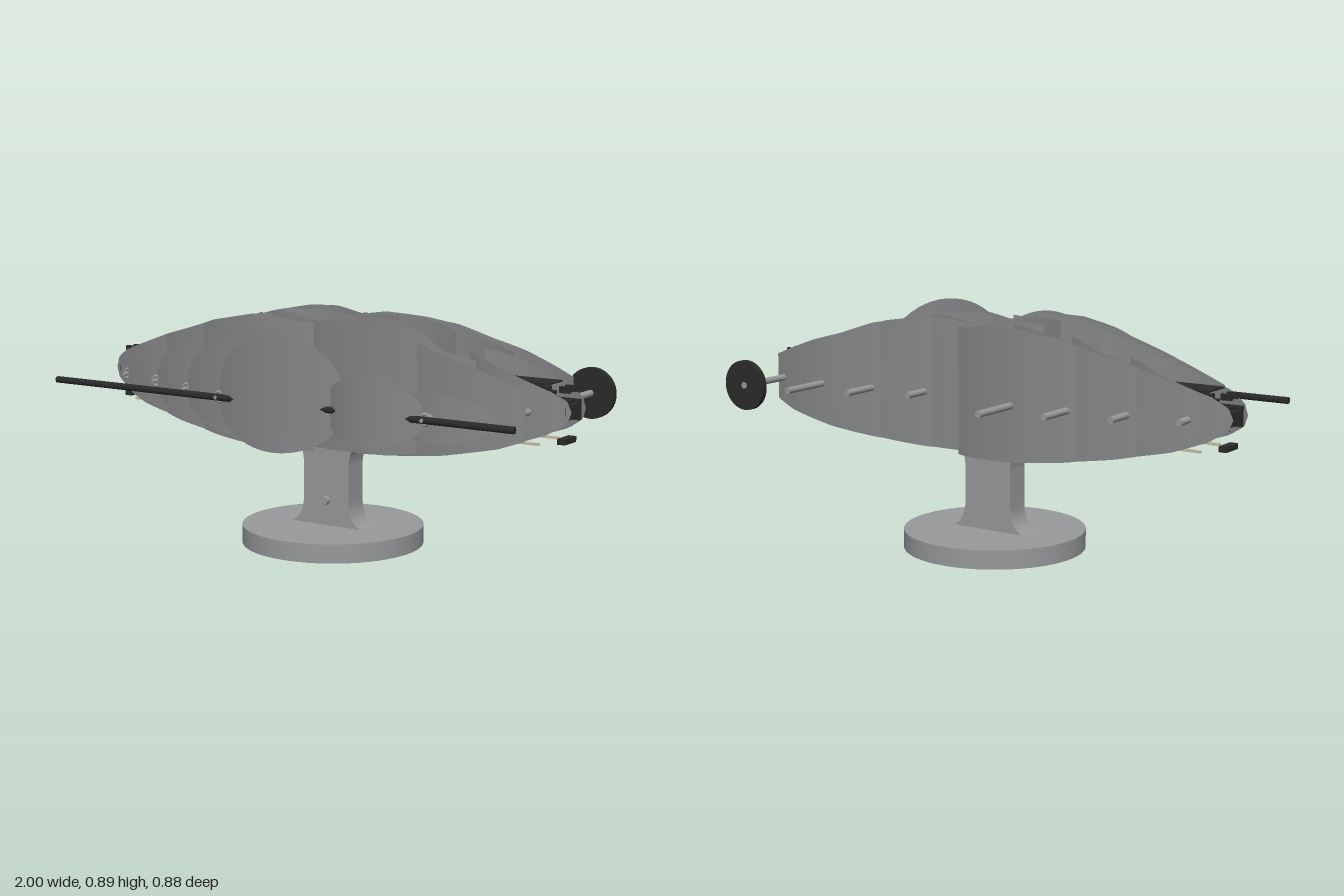
import * as THREE from 'three';

const mat = (name, color, side = THREE.FrontSide) => {
  const m = new THREE.MeshStandardMaterial({ color, side });
  m.name = name;
  return m;
};

export function createModel() {
  const model = new THREE.Group();
  const stone = mat('stand grey', 0x98999b);
  const shell = mat('shell grey', 0x868789, THREE.DoubleSide);
  const steel = mat('shaft grey', 0x97999b);
  const dark = mat('dark frame', 0x2b2b2b);
  const tan = mat('tan strip', 0xc8bfa5);
  const axisY = 0.585;

  const add = (name, geo, material, x = 0, y = 0, z = 0) => {
    const m = new THREE.Mesh(geo, material);
    m.name = name;
    m.position.set(x, y, z);
    model.add(m);
    return m;
  };
  const box = (name, w, h, d, material, x, y, z) =>
    add(name, new THREE.BoxGeometry(w, h, d), material, x, y, z);
  // Cylinder lying along z between two depths
  const rodZ = (name, r, z0, z1, material, x, y, sides = 16) =>
    add(name, new THREE.CylinderGeometry(r, r, z1 - z0, sides).rotateX(Math.PI / 2), material, x, y, (z0 + z1) / 2);

  // Thin bent sheet: at(u) returns [x, bottom, top, z] for u in -1..1
  const sheet = (name, at) => {
    const geo = new THREE.PlaneGeometry(2, 1, 28, 4);
    const p = geo.attributes.position;
    for (let i = 0; i < p.count; i++) {
      const [x, lo, hi, z] = at(p.getX(i));
      p.setXYZ(i, x, THREE.MathUtils.lerp(lo, hi, p.getY(i) + 0.5), z);
    }
    geo.computeVertexNormals();
    return add(name, geo, shell);
  };

  // Stand: round foot and a waisted column
  add('foot', new THREE.CylinderGeometry(0.34, 0.34, 0.07, 64), stone, 0, 0.035, -0.02);
  const s = new THREE.Shape();
  s.moveTo(-0.165, 0.065);
  s.lineTo(0.165, 0.065);
  s.quadraticCurveTo(0.1, 0.085, 0.1, 0.17);
  s.lineTo(0.1, 0.31);
  s.quadraticCurveTo(0.105, 0.385, 0.165, 0.405);
  s.lineTo(0.165, 0.475);
  s.lineTo(-0.165, 0.475);
  s.lineTo(-0.165, 0.405);
  s.quadraticCurveTo(-0.105, 0.385, -0.1, 0.31);
  s.lineTo(-0.1, 0.17);
  s.quadraticCurveTo(-0.1, 0.085, -0.165, 0.065);
  add('column', new THREE.ExtrudeGeometry(s, { depth: 0.096, bevelEnabled: false, curveSegments: 12 }), stone, 0, 0, -0.069);
  rodZ('columnKnob', 0.017, 0.025, 0.045, steel, 0, 0.165, 20);

  // Frame: two rails, cover plate, end brackets and feet
  for (const z of [0.032, -0.074]) box('rail', 1.96, 0.072, 0.019, dark, 0, axisY, z);
  box('coverPlate', 1.82, 0.006, 0.106, dark, 0, 0.679, -0.022);
  for (const side of [-1, 1]) {
    box('endBlock', 0.03, 0.02, 0.086, dark, side * 0.957, 0.484, -0.022);
    box('endCrossbar', 0.014, 0.05, 0.09, dark, side * 0.973, axisY, -0.022);
    box('endCrossbar', 0.06, 0.01, 0.09, dark, side * 0.93, axisY + 0.03, -0.022);
    for (const z of [0, -0.045]) box('endBracket', 0.04, 0.022, 0.014, dark, side * 0.957, 0.661, z);
  }
  for (const z of [0.052, -0.096]) box('lowerStrip', 1.78, 0.009, 0.012, tan, 0, 0.474, z);

  // Overall upper and lower outline of the shells
  const curve = (pts) => (x) => {
    let i = 0;
    while (i < pts.length - 2 && x > pts[i + 1][0]) i++;
    const [a, b] = [pts[i], pts[i + 1]];
    return THREE.MathUtils.mapLinear(x, a[0], b[0], a[1], b[1]);
  };
  const topAt = curve([[-1, 0.59], [-0.985, 0.63], [-0.93, 0.665], [-0.8, 0.708], [-0.68, 0.75], [-0.55, 0.785],
    [-0.4, 0.83], [-0.25, 0.858], [-0.12, 0.862], [0, 0.843], [0.15, 0.864], [0.3, 0.85], [0.42, 0.83],
    [0.55, 0.785], [0.68, 0.75], [0.8, 0.708], [0.93, 0.66], [0.985, 0.63], [1, 0.59]]);
  const lowAt = curve([[0, 0.375], [0.2, 0.38], [0.4, 0.398], [0.6, 0.427], [0.8, 0.468], [0.92, 0.51], [0.985, 0.55], [1, 0.59]]);

  // Nine shafts in four repeating depths, each with a gear and two bent panels
  const gear = new THREE.Shape();
  for (let i = 0; i < 72; i++) {
    const a = (i / 72) * Math.PI * 2, r = i % 4 < 2 ? 0.075 : 0.066;
    gear[i ? 'lineTo' : 'moveTo'](r * Math.cos(a), r * Math.sin(a));
  }
  const gearGeo = new THREE.ExtrudeGeometry(gear, { depth: 0.02, bevelEnabled: false });
  for (let k = 0; k < 9; k++) {
    const x = (k - 4) * 0.2137, level = k % 4;
    const back = k === 8 ? -0.44 : -0.19 - level * 0.083;
    const front = 0.135 + level * 0.084;
    rodZ('shaft', 0.0125, back, front + 0.01, steel, x, axisY);
    rodZ('shaftPin', 0.007, front + 0.01, front + 0.032, steel, x, axisY, 10);
    add('hubRing', new THREE.TorusGeometry(0.018, 0.006, 8, 20), steel, x, axisY, front + 0.005);
    add('gear', gearGeo, dark, x, axisY + 0.015, -0.032);
    rodZ('pinion', 0.033, -0.05, -0.032, dark, x, axisY, 20);
    const x0 = Math.max(-1, x - 0.25), x1 = Math.min(1, x + 0.25);
    for (const dir of [1, -1]) {
      const z0 = dir > 0 ? 0.034 : -0.077;
      sheet(dir > 0 ? 'frontPanel' : 'backPanel', (u) => {
        const px = THREE.MathUtils.lerp(x0, x1, (u + 1) / 2);
        return [px, lowAt(Math.abs(px)), topAt(px), z0 + dir * (level * 0.0415 + 0.038 * (1 - u * u))];
      });
    }
  }

  // Oval front leaves: start x, end x, bottom, top, depth level
  const leaves = [
    [-0.855, -0.35, 0.5, 0.69, 0], [0, 0.65, 0.4, 0.887, 0], [0.855, 0.4, 0.5, 0.69, 0],
    [-0.64, -0.15, 0.46, 0.74, 1], [0.215, -0.43, 0.416, 0.835, 1],
    [-0.43, 0.1, 0.445, 0.78, 2], [0.43, 0.86, 0.5, 0.67, 2],
    [-0.215, 0.32, 0.418, 0.833, 3], [0.64, 0.24, 0.475, 0.718, 3],
  ];
  for (const [a, b, lo, hi, level] of leaves) {
    const mid = (a + b) / 2, half = Math.abs(b - a) / 2;
    sheet('leaf', (u) => {
      const t = Math.sin(u * Math.PI / 2), h = Math.cos(u * Math.PI / 2);
      return [mid + half * t, axisY + (lo - axisY) * h, axisY + (hi - axisY) * h,
        0.142 + level * 0.083 + 0.051 * (1 - t * t)];
    });
  }

  // Long front bar and the rear hand wheel
  add('frontBar', new THREE.CylinderGeometry(0.013, 0.013, 1.96, 6).rotateZ(Math.PI / 2), dark, 0, axisY, 0.405);
  rodZ('handWheel', 0.094, -0.438, -0.418, dark, 0.855, axisY, 40);
  rodZ('wheelKnob', 0.01, -0.443, -0.436, dark, 0.855, axisY + 0.064, 16);

  return model;
}
